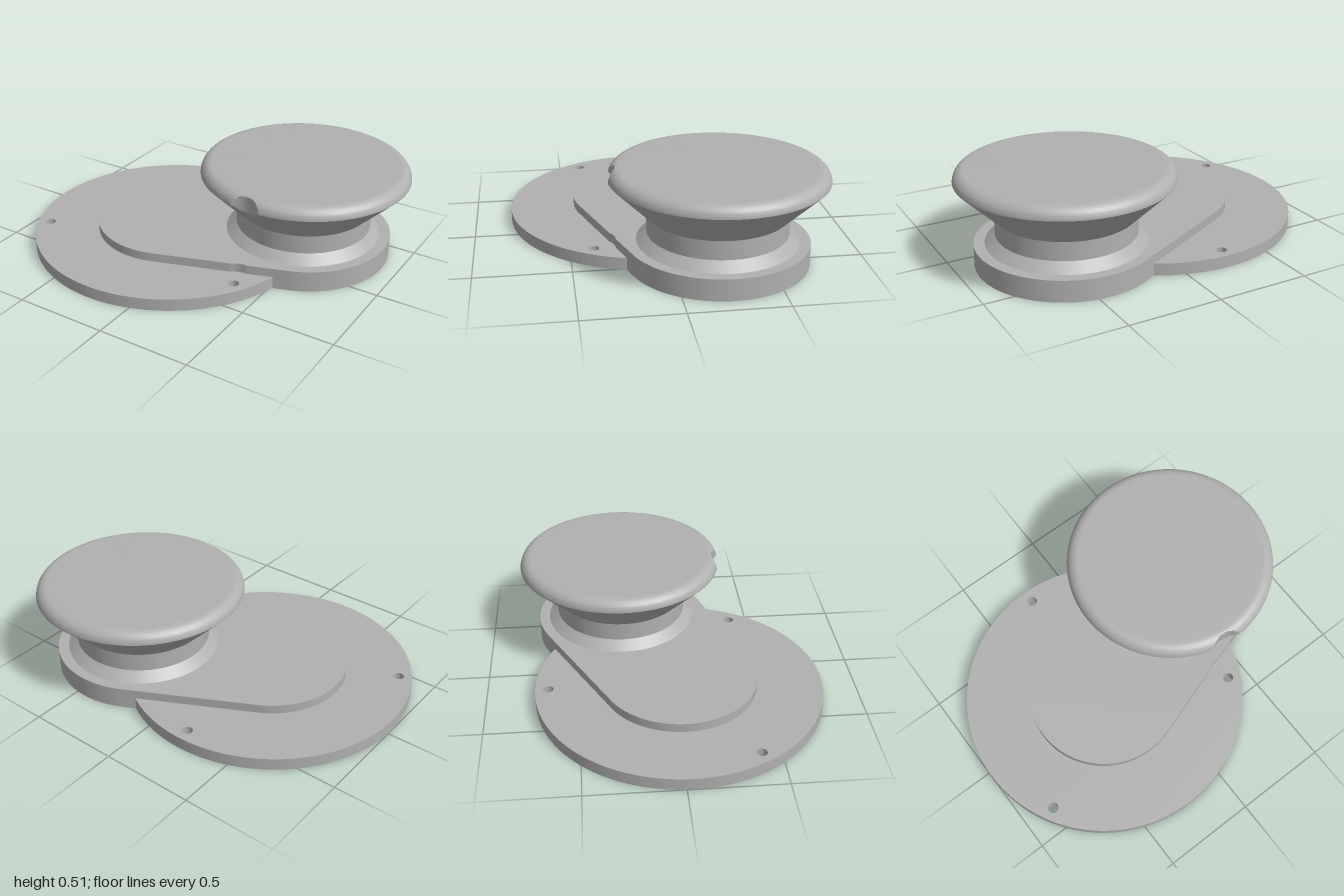
import * as THREE from 'three';
import { toCreasedNormals } from 'three/addons/utils/BufferGeometryUtils.js';

const DISC = { x: -0.23, z: 0.033, r: 0.77 };
const KNOB = { x: 0.438, z: -0.249, r: 0.561 };
const HEEL = { x: DISC.x, z: DISC.z, r: 0.418 };
const TOE = { x: KNOB.x, z: KNOB.z, r: 0.475 };
const HOLE_RING = 0.7;
// Clearance bore above the screw hole beside the knob
const BORE = { x: DISC.x + HOLE_RING * Math.cos(Math.PI / 6), z: DISC.z + HOLE_RING / 2, r: 0.113 };

// Extrudes a plan outline (shape y = -z) upwards from the ground
function plate(shape, height) {
  const g = new THREE.ExtrudeGeometry(shape, { depth: height, bevelEnabled: false, curveSegments: 128 });
  g.rotateX(-Math.PI / 2);
  return toCreasedNormals(g, 0.35);
}

// Round base plate with three screw holes
function basePlate() {
  const shape = new THREE.Shape();
  shape.absarc(DISC.x, -DISC.z, DISC.r, 0, Math.PI * 2);
  for (let i = 0; i < 3; i++) {
    const a = Math.PI / 2 + i * Math.PI * 2 / 3;
    const hole = new THREE.Path();
    hole.absarc(DISC.x + HOLE_RING * Math.cos(a), -DISC.z + HOLE_RING * Math.sin(a), 0.028, 0, Math.PI * 2, true);
    shape.holes.push(hole);
  }
  return plate(shape, 0.066);
}

// Raised arm: two circles joined by tangents, relieved around the bore
function arm() {
  const dx = TOE.x - HEEL.x, dy = HEEL.z - TOE.z;
  const dir = Math.atan2(dy, dx);
  const phi = Math.acos((HEEL.r - TOE.r) / Math.hypot(dx, dy));
  const path = new THREE.Path();
  path.absarc(TOE.x, -TOE.z, TOE.r, dir - phi, dir + phi);
  path.absarc(HEEL.x, -HEEL.z, HEEL.r, dir + phi, dir - phi + Math.PI * 2);
  path.closePath();
  const pts = path.getSpacedPoints(400);
  pts.pop();
  const centre = new THREE.Vector2(BORE.x, -BORE.z);
  for (const p of pts) {
    if (p.distanceTo(centre) < BORE.r) p.sub(centre).setLength(BORE.r).add(centre);
  }
  return plate(new THREE.Shape(pts), 0.115);
}

// Turned knob: flared foot, neck, cone and rounded rim, with a bite from the bore
function knob() {
  const profile = [[0.418, 0.115], [0.365, 0.162], [0.365, 0.262]].map(p => new THREE.Vector2(...p));
  for (let i = 1; i <= 24; i++) {
    profile.push(new THREE.Vector2(0.365 + (KNOB.r - 0.365) * i / 24, 0.262 + 0.193 * i / 24));
  }
  for (let i = 1; i <= 12; i++) {
    const a = i / 12 * Math.PI / 2;
    profile.push(new THREE.Vector2(KNOB.r - 0.06 + 0.06 * Math.cos(a), 0.455 + 0.06 * Math.sin(a)));
  }
  profile.push(new THREE.Vector2(0.49, 0.515), new THREE.Vector2(0, 0.515));
  const g = new THREE.LatheGeometry(profile, 256);

  // Pull vertices inside the bore back towards the knob axis
  const pos = g.attributes.position;
  const wx = BORE.x - KNOB.x, wz = BORE.z - KNOB.z;
  for (let i = 0; i < pos.count; i++) {
    const x = pos.getX(i), z = pos.getZ(i), r = Math.hypot(x, z);
    if (r < 0.3) continue;
    const b = (x * wx + z * wz) / r;
    const disc = b * b - (wx * wx + wz * wz - BORE.r ** 2);
    if (b <= 0 || disc <= 0) continue;
    const limit = b - Math.sqrt(disc);
    if (r > limit) pos.setXYZ(i, x * limit / r, pos.getY(i), z * limit / r);
  }
  g.translate(KNOB.x, 0, KNOB.z);
  return toCreasedNormals(g, 0.5);
}

export function createModel() {
  const grey = new THREE.MeshStandardMaterial({ color: 0xb0b0b0 });
  grey.name = 'plain grey';
  const model = new THREE.Group();
  model.name = 'knobOnBase';
  const parts = { basePlate: basePlate(), raisedArm: arm(), knob: knob() };
  for (const [name, geometry] of Object.entries(parts)) {
    const mesh = new THREE.Mesh(geometry, grey);
    mesh.name = name;
    model.add(mesh);
  }
  return model;
}
